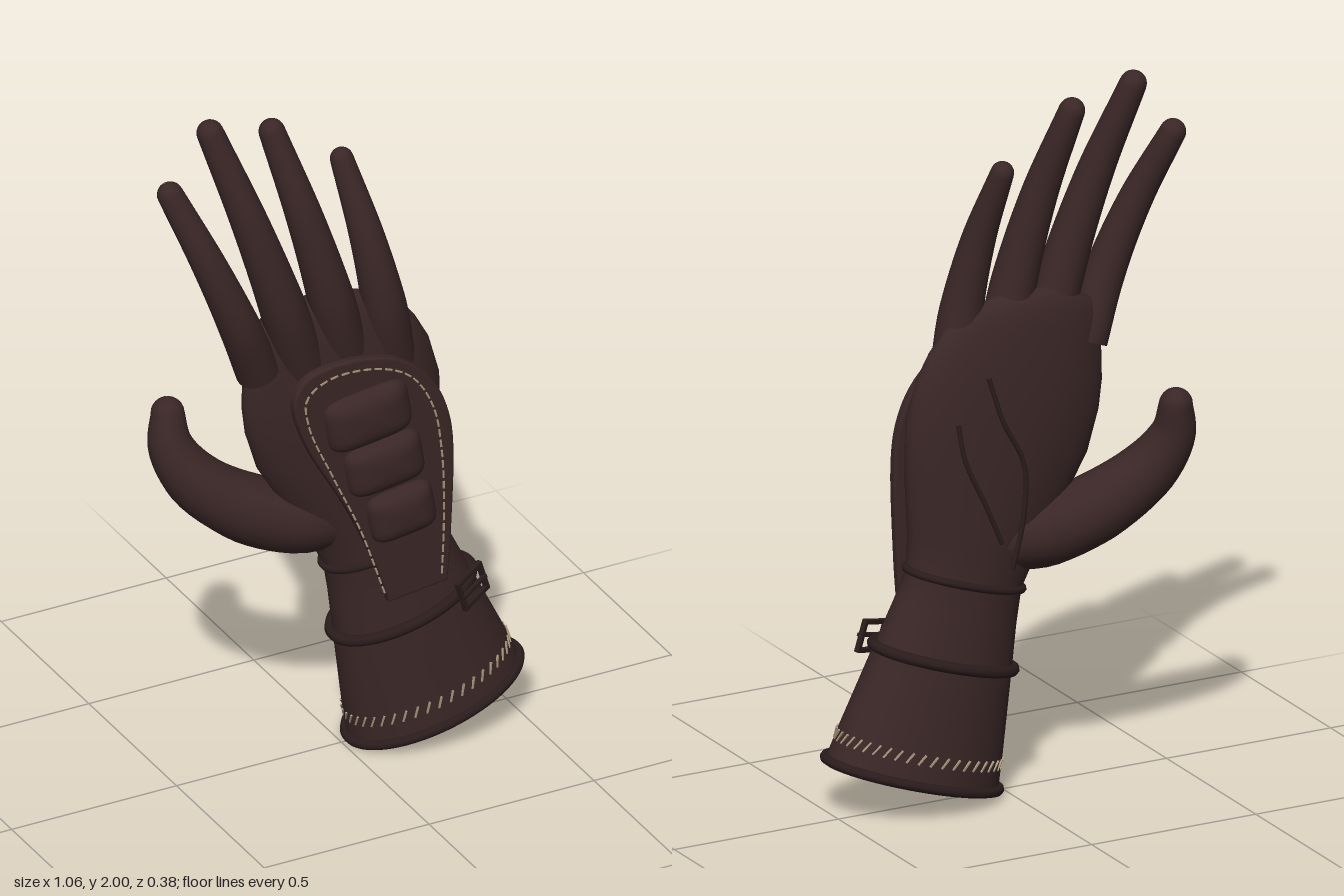
import * as THREE from 'three';
import { mergeGeometries } from 'three/addons/utils/BufferGeometryUtils.js';

const V = (x, y, z = 0) => new THREE.Vector3(x, y, z);
const TILT = 0.291; // lean of the hand about z
const ORIGIN = V(0.27, 0.09, 0); // centre of the cuff opening

// Skin closed cross-sections, listed from bottom to top
function loft(rings) {
  const n = rings[0].length, pos = [], idx = [];
  rings.forEach(r => r.forEach(p => pos.push(p.x, p.y, p.z)));
  for (let i = 0; i < rings.length - 1; i++) {
    for (let j = 0; j < n; j++) {
      const a = i * n + j, b = i * n + (j + 1) % n;
      idx.push(a, a + n, b, b, a + n, b + n);
    }
  }
  const g = new THREE.BufferGeometry();
  g.setAttribute('position', new THREE.Float32BufferAttribute(pos, 3));
  g.setIndex(idx);
  g.computeVertexNormals();
  return g;
}

// Elliptical ring in the tilted hand frame
function ring(y, cx, hw, hd, cz = 0.012, n = 48) {
  return Array.from({ length: n }, (_, j) => {
    const a = j / n * Math.PI * 2;
    return V(cx + hw * Math.cos(a), y, cz + hd * Math.sin(a));
  });
}

// Round limb through [x, y, z, radius] points with a domed tip
function limb(pts, steps = 28, n = 20) {
  const curve = new THREE.CatmullRomCurve3(pts.map(p => V(p[0], p[1], p[2])));
  const rings = [];
  const add = (c, t, r) => {
    const N = t.clone().cross(V(0, 0, 1)).normalize(), B = N.clone().cross(t);
    rings.push(Array.from({ length: n }, (_, j) => {
      const a = j / n * Math.PI * 2;
      return c.clone().addScaledVector(N, r * Math.cos(a)).addScaledVector(B, r * Math.sin(a));
    }));
  };
  for (let i = 0; i <= steps; i++) {
    const t = i / steps, f = t * (pts.length - 1), k = Math.min(Math.floor(f), pts.length - 2);
    add(curve.getPoint(t), curve.getTangent(t), THREE.MathUtils.lerp(pts[k][3], pts[k + 1][3], f - k));
  }
  const end = curve.getPoint(1), dir = curve.getTangent(1), r = pts[pts.length - 1][3];
  for (let i = 1; i <= 6; i++) {
    const a = i / 6 * Math.PI / 2;
    add(end.clone().addScaledVector(dir, r * Math.sin(a)), dir, Math.max(r * Math.cos(a), 0.0005));
  }
  return loft(rings);
}

// Pillow pad bulging toward +z with a squarish outline
function pillow(w, h, d) {
  const rings = [], sq = v => Math.sign(v) * Math.pow(Math.abs(v), 0.42);
  for (let i = 0; i <= 8; i++) {
    const a = i / 8 * Math.PI / 2, s = Math.max(Math.pow(Math.cos(a), 0.6), 0.001);
    rings.push(Array.from({ length: 40 }, (_, j) => {
      const b = -j / 40 * Math.PI * 2;
      return V(w / 2 * s * sq(Math.cos(b)), h / 2 * s * sq(Math.sin(b)), d * Math.sin(a));
    }));
  }
  return loft(rings);
}

export function createModel() {
  const mat = (name, color, side = THREE.FrontSide) => {
    const m = new THREE.MeshStandardMaterial({ color, side });
    m.name = name;
    return m;
  };
  const leather = mat('dark brown leather', 0x3a2626);
  const trim = mat('darker trim', 0x2b1c1c);
  const lining = mat('tan lining', 0x8f7249, THREE.DoubleSide);
  const thread = mat('pale thread', 0xa8967c);

  const model = new THREE.Group();
  model.name = 'glove';
  const hand = new THREE.Group(); // tilted frame along the forearm axis
  hand.name = 'cuffAndPalm';
  hand.position.copy(ORIGIN);
  hand.rotation.z = TILT;
  model.add(hand);
  const part = (name, geo, m, parent = model) => {
    const mesh = new THREE.Mesh(geo, m);
    mesh.name = name;
    parent.add(mesh);
    return mesh;
  };

  // Cuff, wrist and palm: height, centre, half width, half depth
  const sections = [
    [0, 0, 0.26, 0.157], [0.1, 0, 0.246, 0.147], [0.22, 0, 0.226, 0.135], [0.334, 0, 0.207, 0.124],
    [0.46, 0, 0.186, 0.108], [0.555, 0, 0.174, 0.1], [0.65, 0.005, 0.197, 0.1], [0.8, 0.013, 0.244, 0.1],
    [0.95, 0.016, 0.285, 0.096], [1.07, 0.017, 0.287, 0.088], [1.15, 0.015, 0.272, 0.08],
    [1.22, 0.012, 0.247, 0.07], [1.28, 0, 0.215, 0.06], [1.33, -0.03, 0.165, 0.05],
    [1.37, -0.06, 0.1, 0.035], [1.385, -0.07, 0.001, 0.001]];
  part('palm', loft(sections.map(s => ring(...s))), leather, hand);
  part('lining', loft([[0, 0, 0.25, 0.148], [0.2, 0, 0.218, 0.126], [0.5, 0, 0.165, 0.09],
    [0.56, 0, 0.001, 0.001]].map(s => ring(...s))), lining, hand);

  // Rolled rim, strap and wrist cord
  for (const [name, y, hw, hd, r] of [['cuffRim', 0.003, 0.262, 0.159, 0.014],
    ['strap', 0.334, 0.212, 0.131, 0.016], ['wristCord', 0.555, 0.177, 0.103, 0.011]]) {
    const loop = new THREE.CatmullRomCurve3(ring(y, 0, hw, hd), true);
    part(name, new THREE.TubeGeometry(loop, 96, r, 8, true), trim, hand);
  }

  // Slanted stitches around the cuff
  const cuffStitches = [];
  for (let i = 0; i < 44; i++) {
    const a = i / 44 * Math.PI * 2;
    const g = new THREE.BoxGeometry(0.005, 0.034, 0.005);
    g.rotateZ(-0.5);
    g.rotateY(Math.atan2(Math.cos(a) / 0.25, Math.sin(a) / 0.151));
    g.translate(0.251 * Math.cos(a), 0.075, 0.012 + 0.151 * Math.sin(a));
    cuffStitches.push(g);
  }
  part('cuffStitches', mergeGeometries(cuffStitches), thread, hand);

  // Fingers: base x, base y, tip x, tip y, base radius, tip radius
  const fingers = {
    indexFinger: [-0.265, 1.23, -0.495, 1.805, 0.06, 0.036],
    middleFinger: [-0.13, 1.2, -0.374, 1.963, 0.068, 0.037],
    ringFinger: [0.0, 1.2, -0.187, 1.918, 0.068, 0.036],
    littleFinger: [0.14, 1.17, 0.025, 1.777, 0.066, 0.032]
  };
  for (const [name, [bx, by, tx, ty, br, tr]] of Object.entries(fingers)) {
    const pts = [[0, 0.022, 1], [0.3, 0.043, 0.85], [0.65, 0.02, 0.45], [1, -0.045, 0]].map(([t, z, k]) =>
      [bx + (tx - bx) * t, by + (ty - by) * t, z, tr + (br - tr) * k]);
    part(name, limb(pts), leather);
  }
  part('thumb', limb([[0.02, 0.72, 0, 0.085], [-0.12, 0.725, -0.015, 0.1], [-0.27, 0.78, -0.045, 0.096],
    [-0.4, 0.88, -0.09, 0.08], [-0.452, 0.98, -0.125, 0.062], [-0.45, 1.068, -0.145, 0.046]]), leather);

  // Raised panel on the back of the hand
  const plateZ = x => 0.143 + 0.05 * x; // front surface of the panel
  const edge = [[0.24, 0.52], [0.25, 0.66], [0.258, 0.92], [0.237, 1.06], [0.18, 1.165], [0.09, 1.235],
    [-0.035, 1.26], [-0.15, 1.245], [-0.2, 1.2], [-0.207, 1.13], [-0.16, 1.0], [-0.055, 0.81],
    [0.025, 0.63], [0.07, 0.492]].map(p => new THREE.Vector2(...p));
  const shape = new THREE.Shape(new THREE.SplineCurve(edge).getPoints(70));
  const plate = new THREE.ExtrudeGeometry(shape, {
    depth: 0.014, bevelEnabled: true, bevelSize: 0.007, bevelThickness: 0.008, bevelOffset: -0.005, bevelSegments: 3
  });
  const pp = plate.attributes.position;
  for (let i = 0; i < pp.count; i++) pp.setZ(i, pp.getZ(i) - 0.022 + plateZ(pp.getX(i)));
  plate.computeVertexNormals();
  part('backPanel', plate, leather);

  // Stitch line inside the panel edge
  const seam = new THREE.CatmullRomCurve3([[0.222, 0.54], [0.228, 0.72], [0.222, 0.92], [0.195, 1.07],
    [0.13, 1.175], [0.03, 1.222], [-0.11, 1.222], [-0.175, 1.175], [-0.17, 1.09], [-0.1, 0.92],
    [-0.02, 0.74], [0.055, 0.52]].map(p => V(...p)));
  const dashes = [];
  for (let i = 0; i < 52; i++) {
    const u = (i + 0.5) / 52, p = seam.getPointAt(u), t = seam.getTangentAt(u);
    const g = new THREE.BoxGeometry(0.022, 0.005, 0.004);
    g.rotateZ(Math.atan2(t.y, t.x));
    g.translate(p.x, p.y, plateZ(p.x) + 0.001);
    dashes.push(g);
  }
  part('panelStitches', mergeGeometries(dashes), thread);

  // Three knuckle pads
  [[0.003, 1.085, 0.25, 0.165], [0.052, 0.928, 0.228, 0.155], [0.102, 0.768, 0.195, 0.15]].forEach(([x, y, w, h], i) => {
    const pad = part('knucklePad' + (i + 1), pillow(w, h, 0.048), leather);
    pad.position.set(x, y, plateZ(x) - 0.004);
    pad.rotation.set(0, -0.05, 0.17);
  });

  // Buckle frame and prong on the strap
  const buckle = new THREE.Group();
  buckle.name = 'buckle';
  buckle.position.set(0.165, 0.336, 0.122);
  buckle.rotation.y = 0.42;
  hand.add(buckle);
  for (const s of [-1, 1]) {
    part('buckleBar', new THREE.BoxGeometry(0.012, 0.09, 0.014), trim, buckle).position.x = s * 0.048;
    part('buckleBar', new THREE.BoxGeometry(0.108, 0.012, 0.014), trim, buckle).position.y = s * 0.04;
  }
  part('buckleProng', new THREE.BoxGeometry(0.1, 0.01, 0.012), trim, buckle).position.z = 0.008;

  // Raised seams on the palm side
  [[[0.08, 1.21, -0.07], [0.04, 1.08, -0.079], [-0.02, 0.95, -0.086], [-0.015, 0.8, -0.09], [0.02, 0.66, -0.092]],
    [[0.17, 1.09, -0.066], [0.155, 0.99, -0.076], [0.1, 0.86, -0.087], [0.05, 0.74, -0.09]]].forEach((pts, i) => {
    const c = new THREE.CatmullRomCurve3(pts.map(p => V(...p)));
    part('palmSeam' + (i + 1), new THREE.TubeGeometry(c, 32, 0.007, 8), trim);
  });

  return model;
}
